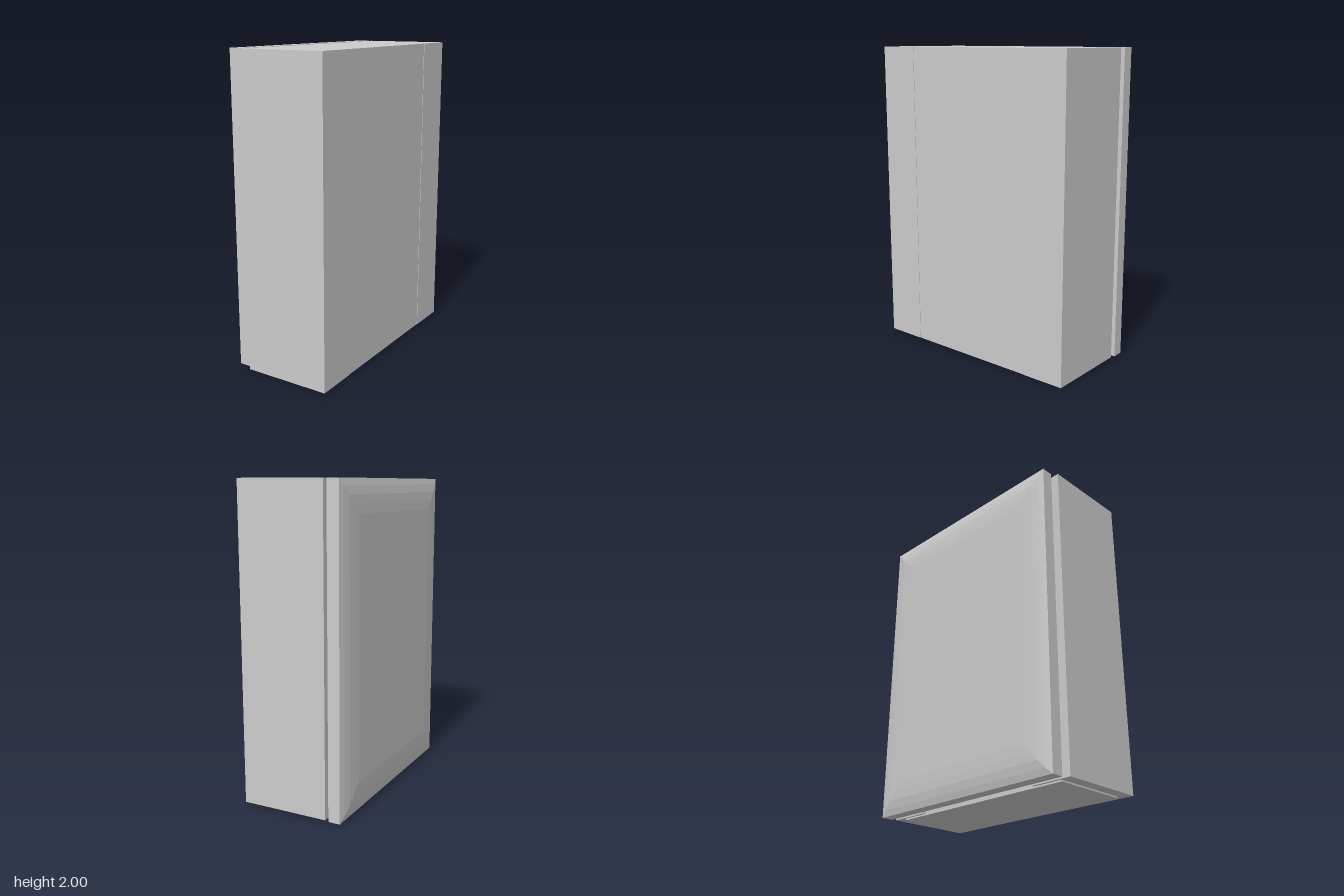
import * as THREE from 'three';

const material = new THREE.MeshStandardMaterial({ color: 0xcccccc, flatShading: true });

// Box given by its limits on each axis
function box(name, [x0, x1], [y0, y1], [z0, z1]) {
  const mesh = new THREE.Mesh(new THREE.BoxGeometry(x1 - x0, y1 - y0, z1 - z0), material);
  mesh.position.set((x0 + x1) / 2, (y0 + y1) / 2, (z0 + z1) / 2);
  mesh.name = name;
  return mesh;
}

// Door slab whose outer face swells gently: rectangular rings of [x, inset], joined in order
function domedDoor([y0, y1], [z0, z1], sections) {
  const rings = sections.map(([x, d]) => [
    [x, y0 + d, z0 + d], [x, y0 + d, z1 - d], [x, y1 - d, z1 - d], [x, y1 - d, z0 + d],
  ]);
  const points = [];
  const quad = (a, b, c, d) => points.push(...a, ...b, ...c, ...a, ...c, ...d);
  for (let r = 0; r < rings.length - 1; r++) {
    for (let i = 0; i < 4; i++) {
      const j = (i + 1) % 4;
      quad(rings[r][i], rings[r][j], rings[r + 1][j], rings[r + 1][i]);
    }
  }
  quad(...[...rings[0]].reverse());
  quad(...rings[rings.length - 1]);
  const geometry = new THREE.BufferGeometry();
  geometry.setAttribute('position', new THREE.Float32BufferAttribute(points, 3));
  geometry.computeVertexNormals();
  const mesh = new THREE.Mesh(geometry, material);
  mesh.name = 'door';
  return mesh;
}

export function createModel() {
  const model = new THREE.Group();
  model.name = 'cabinet';
  const height = [0.01, 2];

  // Body: slightly narrower core between two wider side shells
  model.add(
    box('cabinetCore', [-0.203, 0.345], height, [-0.455, 0.465]),
    box('frontShell', [-0.22, 0.348], height, [0.465, 0.738]),
    box('backShell', [-0.22, 0.348], height, [-0.73, -0.455]),
  );

  // Low plinth under the body
  model.add(box('plinth', [-0.205, 0.29], [0, 0.01], [-0.645, 0.665]));

  // Door, standing just off the body
  model.add(domedDoor(height, [-0.74, 0.705], [
    [-0.247, 0], [-0.323, 0], [-0.334, 0.04], [-0.343, 0.09], [-0.347, 0.14], [-0.35, 0.2],
  ]));
  return model;
}
